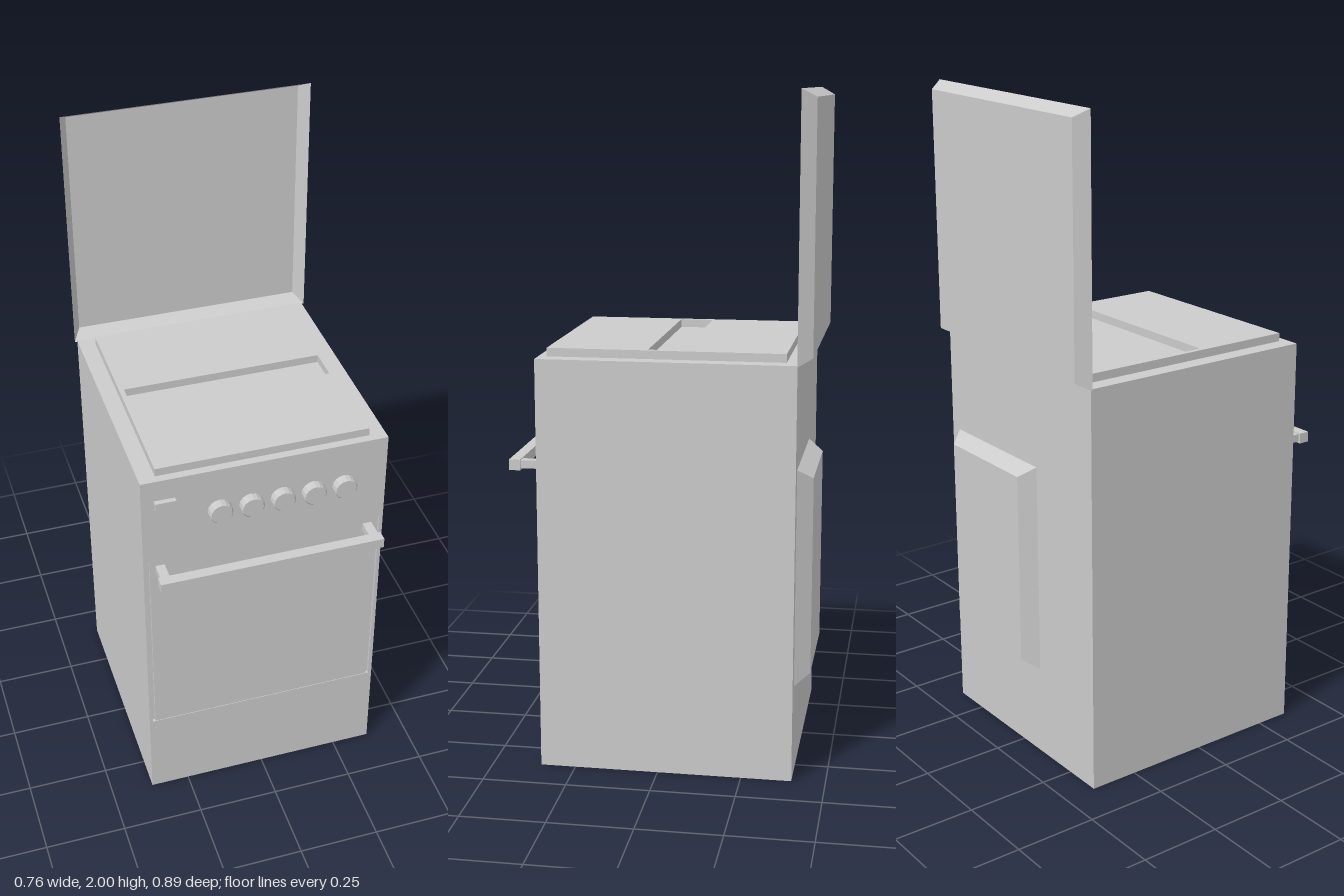
import * as THREE from 'three';

const grey = new THREE.MeshStandardMaterial({ color: 0xcccccc, flatShading: true });
const greyDouble = new THREE.MeshStandardMaterial({ color: 0xcccccc, flatShading: true, side: THREE.DoubleSide });

function add(parent, name, geometry, material = grey) {
  const mesh = new THREE.Mesh(geometry, material);
  mesh.name = name;
  parent.add(mesh);
  return mesh;
}

// Box given by its limits on each axis
function block(x0, x1, y0, y1, z0, z1) {
  return new THREE.BoxGeometry(x1 - x0, y1 - y0, z1 - z0)
    .translate((x0 + x1) / 2, (y0 + y1) / 2, (z0 + z1) / 2);
}

// Rectangular plate with a rectangular hole; rectangles are [x0, x1, y0, y1]
function framePlate(outer, hole, depth) {
  const corners = ([x0, x1, y0, y1]) => [[x0, y0], [x1, y0], [x1, y1], [x0, y1]]
    .map(([x, y]) => new THREE.Vector2(x, y));
  const shape = new THREE.Shape(corners(outer));
  shape.holes.push(new THREE.Path(corners(hole).reverse()));
  return new THREE.ExtrudeGeometry(shape, { depth, bevelEnabled: false });
}

// Bevelled pan: sloping sides from a base rectangle to a smaller cap behind it, open at the base
function pan(base, baseZ, cap, capZ) {
  const ring = ([x0, x1, y0, y1], z) => [x0, y0, z, x1, y0, z, x1, y1, z, x0, y1, z];
  const index = [4, 7, 6, 4, 6, 5];
  for (let i = 0; i < 4; i++) {
    const j = (i + 1) % 4;
    index.push(i, i + 4, j + 4, i, j + 4, j);
  }
  const indexed = new THREE.BufferGeometry();
  indexed.setAttribute('position', new THREE.Float32BufferAttribute([...ring(base, baseZ), ...ring(cap, capZ)], 3));
  indexed.setIndex(index);
  const geometry = indexed.toNonIndexed();
  geometry.computeVertexNormals();
  return geometry;
}

export function createModel() {
  const cooker = new THREE.Group();
  cooker.name = 'cooker';

  // Cabinet with a front frame; the door sits flush inside, leaving narrow gaps
  add(cooker, 'cabinet', block(-0.37, 0.37, 0, 1.24, -0.4, 0.345));
  add(cooker, 'frontFrame',
    framePlate([-0.37, 0.37, 0, 1.24], [-0.359, 0.359, 0.292, 0.95], 0.01).translate(0, 0, 0.345));
  add(cooker, 'ovenDoor', block(-0.351, 0.351, 0.294, 0.95, 0.344, 0.355));

  // Raised hob with a long recess across the middle
  add(cooker, 'hob',
    framePlate([-0.32, 0.32, -0.33, 0.365], [-0.305, 0.305, -0.035, 0.067], 0.025)
      .rotateX(-Math.PI / 2).translate(0, 1.24, 0));

  // Raised lid: a shallow pan open to the front
  add(cooker, 'lid', pan([-0.378, 0.378, 1.237, 2], -0.4, [-0.353, 0.353, 1.26, 1.977], -0.442), greyDouble);

  // Bevelled cover on the back, off to one side
  add(cooker, 'rearCover', pan([-0.095, 0.33, 0.28, 0.932], -0.4, [-0.06, 0.295, 0.312, 0.902], -0.445));

  // Door handle
  const handle = new THREE.Group();
  handle.name = 'doorHandle';
  cooker.add(handle);
  add(handle, 'handleBar', block(-0.341, 0.341, 0.903, 0.935, 0.41, 0.443));
  for (const side of [-1, 1]) {
    add(handle, 'handlePost', block(-0.014, 0.014, 0.908, 0.932, 0.35, 0.412)).position.x = side * 0.32;
  }

  // Row of control knobs with a small front chamfer
  const profile = [[0, 0], [0.036, 0], [0.036, 0.019], [0.031, 0.025], [0, 0.025]]
    .map(([r, h]) => new THREE.Vector2(r, h));
  const knob = new THREE.LatheGeometry(profile, 16).rotateX(Math.PI / 2);
  for (let i = 0; i < 5; i++) {
    add(cooker, 'controlKnob', knob).position.set(-0.139 + i * 0.0945, 1.096, 0.354);
  }

  // Small switch block beside the knobs
  add(cooker, 'switch', block(-0.332, -0.27, 1.145, 1.172, 0.35, 0.371));

  return cooker;
}
